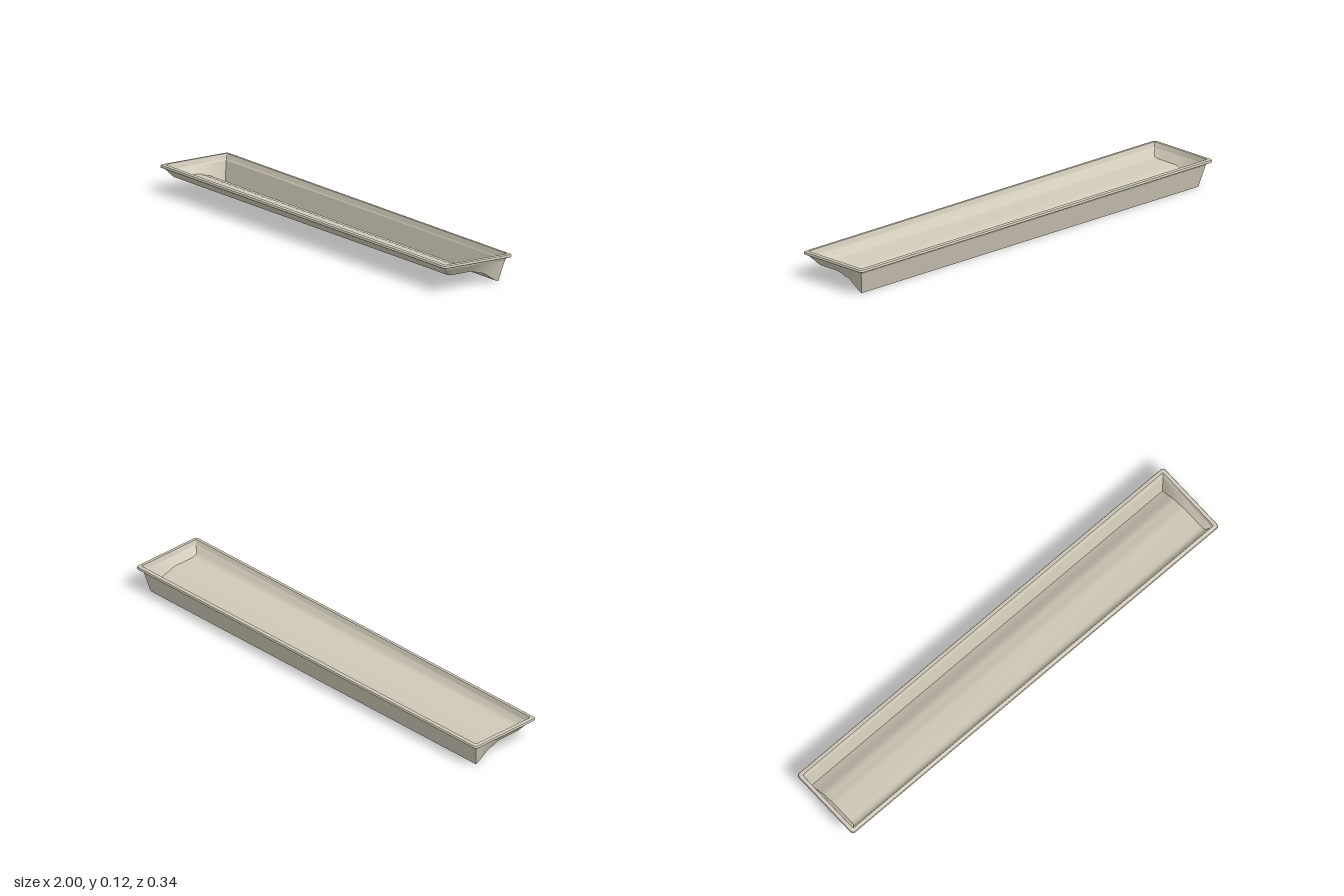
import * as THREE from 'three';
import { toCreasedNormals } from 'three/addons/utils/BufferGeometryUtils.js';

// Skin a surface through rows of points of equal length
function loft(rows, crease) {
  const n = rows[0].length, index = [];
  for (let r = 0; r < rows.length - 1; r++) {
    for (let i = 0; i < n - 1; i++) {
      const a = r * n + i, b = a + 1, c = a + n, d = c + 1;
      index.push(a, b, d, a, d, c);
    }
  }
  const geo = new THREE.BufferGeometry();
  geo.setAttribute('position', new THREE.Float32BufferAttribute(rows.flat(2), 3));
  geo.setIndex(index);
  return toCreasedNormals(geo, crease);
}

// Closed rectangle with rounded corners at height y
function ring(hx, hz, y, radius) {
  const points = [], steps = 4;
  const corners = [[1, 1], [-1, 1], [-1, -1], [1, -1]];
  corners.forEach(([sx, sz], k) => {
    for (let i = 0; i <= steps; i++) {
      const a = (k + i / steps) * Math.PI / 2;
      points.push([
        sx * (hx - radius) + radius * Math.cos(a), y,
        sz * (hz - radius) + radius * Math.sin(a),
      ]);
    }
  });
  points.push(points[0].slice());
  return points;
}

export function createModel() {
  const group = new THREE.Group();
  const stone = new THREE.MeshStandardMaterial({ color: 0xcfc9b8, side: THREE.DoubleSide });
  stone.name = 'warm grey';

  const add = (name, geo) => {
    const mesh = new THREE.Mesh(geo, stone);
    mesh.name = name;
    group.add(mesh);
  };

  // Rolled rim and short upright collar: half width, half depth, height, corner radius
  const rim = [
    [0.998, 0.169, 0.105, 0.012], [1, 0.171, 0.107, 0.013], [1, 0.171, 0.112, 0.013],
    [0.998, 0.169, 0.116, 0.012], [0.993, 0.164, 0.118, 0.01], [0.983, 0.154, 0.118, 0.004],
    [0.982, 0.153, 0.116, 0.003], [0.981, 0.152, 0.096, 0.002], [0.978, 0.148, 0.091, 0.001],
  ];
  add('rim', loft(rim.map((r) => ring(...r)).reverse(), 0.7));

  // Basin floor cross-section from front to back: half width, height, depth
  const floor = [
    [0.978, 0.091, 0.148], [0.966, 0.079, 0.139], [0.958, 0.068, 0.13], [0.957, 0.064, 0.118],
    [0.957, 0.062, 0.108], [0.957, 0.062, 0.01], [0.957, 0.058, -0.01], [0.957, 0.05, -0.03],
    [0.957, 0.047, -0.048], [0.957, 0.039, -0.066], [0.957, 0.023, -0.088],
    [0.957, 0.01, -0.108], [0.957, 0, -0.128],
  ];
  add('basinFloor', loft(floor.map(([x, y, z]) => [[-x, y, z], [x, y, z]]), 0.8));

  // Sloping back wall
  add('backWall', loft([
    [[-0.957, 0, -0.128], [0.957, 0, -0.128]],
    [[-0.978, 0.091, -0.148], [0.978, 0.091, -0.148]],
  ], 0.5));

  // Flared end walls joining the floor edge to the collar
  for (const side of [1, -1]) {
    const low = floor.map(([x, y, z]) => [side * x, y, z]);
    const high = floor.map(([, , z]) => [
      side * 0.978, 0.091, 0.148 - (0.148 - z) * (0.296 / 0.276),
    ]);
    add(side > 0 ? 'leftEndWall' : 'rightEndWall', loft(side > 0 ? [low, high] : [high, low], 0.8));
  }
  return group;
}
